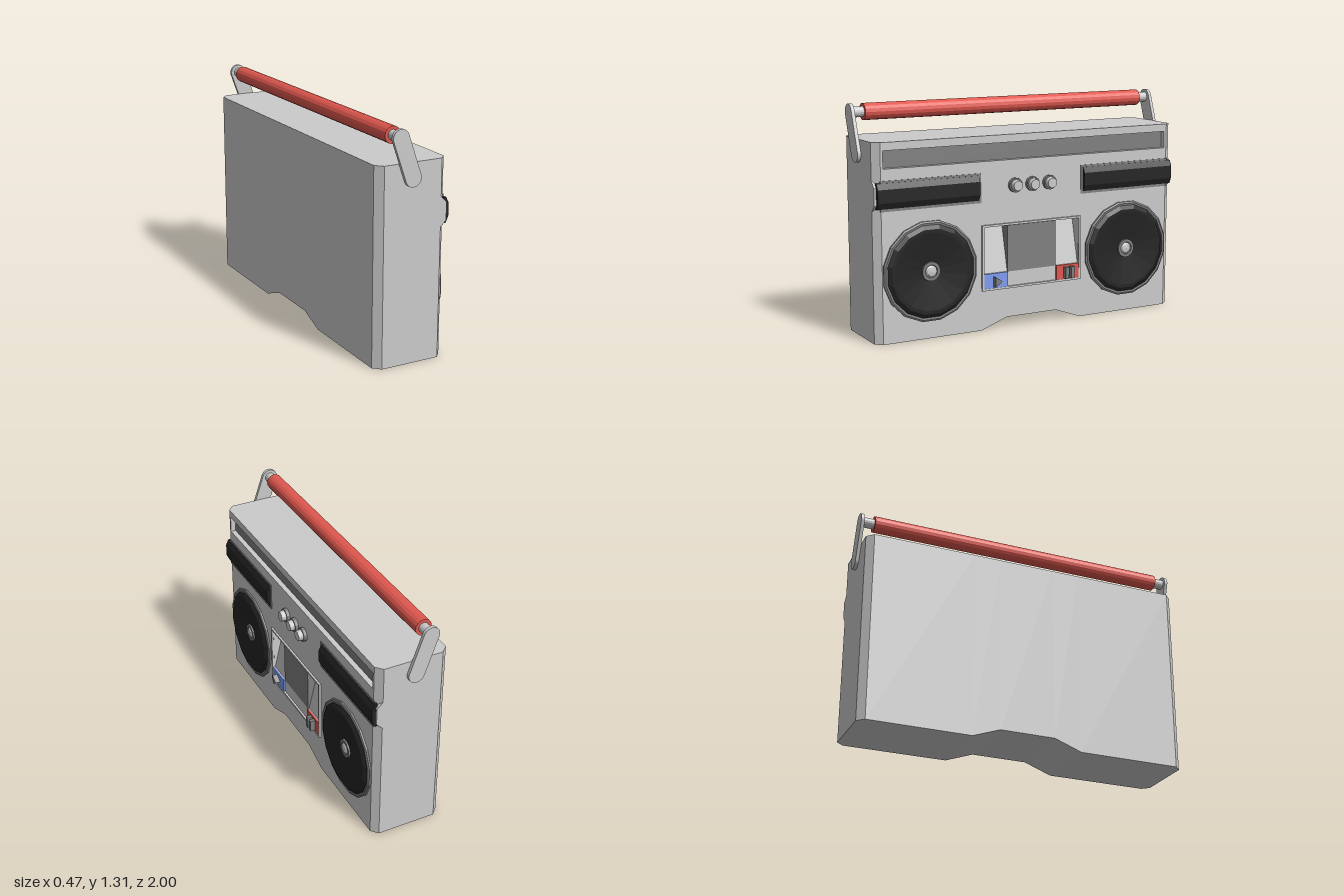
import * as THREE from 'three';

const mat = (color, flat = true) => new THREE.MeshStandardMaterial({ color, flatShading: flat });
const GREY = mat(0xcccccc), DARK = mat(0x808080), BLACK = mat(0x242424);
const RED = mat(0xe0584f), BLUE = mat(0x7f9cf0);

// Modelled facing +z, then turned so the speakers face +x
const FRONT = 0.19, BACK = -0.235, TOP = 1.125;

export function createModel() {
  const radio = new THREE.Group();
  radio.name = 'radio';

  const add = (name, geometry, material, x = 0, y = 0, z = 0) => {
    const mesh = new THREE.Mesh(geometry, material);
    mesh.name = name;
    mesh.position.set(x, y, z);
    radio.add(mesh);
    return mesh;
  };

  // Geometry from a list of four-cornered faces, anticlockwise from outside
  const quads = (list) => {
    const pos = [];
    for (const [a, b, c, d] of list) pos.push(...a, ...b, ...c, ...a, ...c, ...d);
    const g = new THREE.BufferGeometry();
    g.setAttribute('position', new THREE.Float32BufferAttribute(pos, 3));
    g.computeVertexNormals();
    return g;
  };

  const polygon = (pts) => new THREE.Shape(pts.map(([x, y]) => new THREE.Vector2(x, y)));
  const rectangle = (w, y0, y1) => [[-w, y0], [w, y0], [w, y1], [-w, y1]];

  // Side profile (z, y) drawn out along x from x0 to x1
  const bar = (shape, x0, x1) => {
    const g = new THREE.ExtrudeGeometry(shape, { depth: x1 - x0, bevelEnabled: false, curveSegments: 10 });
    return g.rotateY(-Math.PI / 2).translate(x1, 0, 0);
  };
  const box = (name, material, x0, x1, y0, y1, z0, z1) =>
    add(name, new THREE.BoxGeometry(x1 - x0, y1 - y0, z1 - z0), material,
      (x0 + x1) / 2, (y0 + y1) / 2, (z0 + z1) / 2);

  // Case: four-cornered sections along x, with chamfered ends and a raised underside
  const half = [[0.165, 0.06], [0.33, 0], [0.94, 0], [0.98, 0]];
  const stations = [...half.map(([x, y]) => [-x, y]).reverse(), ...half].map(([x, y], i) => {
    const end = i === 0 || i === 7;
    const f = end ? 0.155 : FRONT, b = end ? -0.195 : BACK;
    return [[x, y, f], [x, TOP, f], [x, TOP, b], [x, y, b]];
  });
  const faces = [stations[0], [...stations[7]].reverse()];
  for (let s = 0; s < 7; s++) {
    const a = stations[s], b = stations[s + 1];
    for (let i = 0; i < 4; i++) {
      if (i === 0 && s > 0 && s < 6) continue; // the front panel fills this
      const j = (i + 1) % 4;
      faces.push([a[i], b[i], b[j], a[j]]);
    }
  }
  add('case', quads(faces), GREY);

  // Front panel with openings for the tuner slot and the cassette bay
  const slot = rectangle(0.925, 0.98, 1.08), bay = rectangle(0.315, 0.33, 0.605);
  const panel = polygon([[-0.94, 0], [-0.33, 0], [-0.165, 0.06], [0.165, 0.06], [0.33, 0],
    [0.94, 0], [0.94, TOP], [-0.94, TOP]]);
  panel.holes.push(polygon(slot), polygon(bay));
  add('frontPanel', new THREE.ShapeGeometry(panel), GREY, 0, 0, FRONT);

  // Recesses: walls run back to a floor that may tilt
  const recess = (name, rect, zLow, zHigh, floorMaterial) => {
    const rim = rect.map(([x, y]) => [x, y, FRONT]);
    const floor = rect.map(([x, y], i) => [x, y, i < 2 ? zLow : zHigh]);
    const walls = rim.map((p, i) => [p, rim[(i + 1) % 4], floor[(i + 1) % 4], floor[i]]);
    add(name + 'Walls', quads(walls), GREY);
    add(name + 'Floor', quads([floor]), floorMaterial);
  };
  recess('tunerSlot', slot, 0.16, 0.16, DARK);
  recess('cassetteBay', bay, 0.185, 0.12, GREY);
  box('cassetteWindow', DARK, -0.16, 0.16, 0.33, 0.6, 0.11, 0.192);

  // Thin border round the cassette door
  const border = polygon(rectangle(0.328, 0.232, 0.615));
  border.holes.push(polygon(rectangle(0.316, 0.244, 0.603)));
  add('cassetteBorder', new THREE.ExtrudeGeometry(border, { depth: 0.012, bevelEnabled: false }),
    GREY, 0, 0, FRONT);

  // Play and pause keys on coloured plates
  box('playPlate', BLUE, -0.316, -0.163, 0.244, 0.33, FRONT, 0.2);
  box('pausePlate', RED, 0.163, 0.316, 0.244, 0.33, FRONT, 0.2);
  const triangle = polygon([[-0.258, 0.253], [-0.213, 0.284], [-0.258, 0.315]]);
  add('playKey', new THREE.ExtrudeGeometry(triangle, { depth: 0.04, bevelEnabled: false }),
    DARK, 0, 0, FRONT);
  for (const x of [0.222, 0.26]) box('pauseKey', DARK, x - 0.011, x + 0.011, 0.25, 0.32, FRONT, 0.23);

  // Three knobs on dark collars
  for (const x of [-0.113, 0, 0.113]) {
    add('knobCollar', new THREE.CylinderGeometry(0.042, 0.042, 0.02, 16).rotateX(Math.PI / 2),
      DARK, x, 0.832, 0.2);
    add('knob', new THREE.CylinderGeometry(0.029, 0.035, 0.035, 16).rotateX(Math.PI / 2),
      GREY, x, 0.832, 0.219);
  }

  // Turned parts facing +z, profile given as (radius, z)
  const turned = (profile) => new THREE.LatheGeometry(
    profile.map(([r, z]) => new THREE.Vector2(r, z)), 16, Math.PI / 16).rotateX(Math.PI / 2);
  const rim = turned([[0.29, FRONT], [0.29, 0.2], [0.28, 0.205], [0.268, 0.203]]);
  const cone = turned([[0.272, 0.2], [0.245, 0.217], [0.225, 0.217], [0.05, 0.196]]);
  const cap = turned([[0.057, 0.194], [0.055, 0.206], [0.038, 0.206], [0.034, 0.201]]);
  const dome = turned([[0.036, 0.2], [0.025, 0.209], [0, 0.212]]);

  // Side profiles of the upper grilles and of a handle arm
  const bump = polygon([[0.14, 0.745], [0.155, 0.745], [FRONT, 0.78], [FRONT, 0.88], [0.155, 0.915], [0.14, 0.915]]);
  const frame = polygon([[0.18, 0.745], [0.194, 0.745], [0.194, 0.915], [0.18, 0.915]]);
  const mesh = polygon([[0.18, 0.76], [0.196, 0.76], [0.212, 0.795], [0.212, 0.87], [0.196, 0.903], [0.18, 0.903]]);
  const top = [-0.108, 1.265], foot = [-0.03, 1.043], r = 0.048;
  const lean = Math.atan2(top[1] - foot[1], top[0] - foot[0]);
  const arm = new THREE.Shape();
  arm.absarc(...top, r, lean - Math.PI / 2, lean + Math.PI / 2);
  arm.absarc(...foot, r, lean + Math.PI / 2, lean + Math.PI * 1.5);

  for (const side of [-1, 1]) {
    const span = (shape, a, b) => bar(shape, Math.min(side * a, side * b), Math.max(side * a, side * b));
    const name = side < 0 ? 'left' : 'right';
    add(name + 'SpeakerRim', rim, DARK, side * 0.65, 0.387);
    add(name + 'SpeakerCone', cone, BLACK, side * 0.65, 0.387);
    add(name + 'SpeakerCap', cap, DARK, side * 0.65, 0.387);
    add(name + 'SpeakerDome', dome, GREY, side * 0.65, 0.387);
    add(name + 'GrilleEnd', span(bump, 0.93, 0.98), GREY);
    add(name + 'GrilleFrame', span(frame, 0.33, 0.945), DARK);
    add(name + 'Grille', span(mesh, 0.345, 0.967), BLACK);
    add(name + 'HandleArm', span(arm, 0.98, 1), GREY);
    add(name + 'HandlePin', new THREE.CylinderGeometry(0.03, 0.03, 0.08, 16).rotateZ(Math.PI / 2),
      GREY, side * 0.945, top[1], top[0]);
  }

  // Handle grip
  add('handleGrip', new THREE.CylinderGeometry(r, r, 1.83, 16).rotateZ(Math.PI / 2),
    RED, 0, top[1], top[0]);

  radio.rotation.y = Math.PI / 2;
  const model = new THREE.Group();
  model.name = 'portableRadio';
  model.add(radio);
  return model;
}
